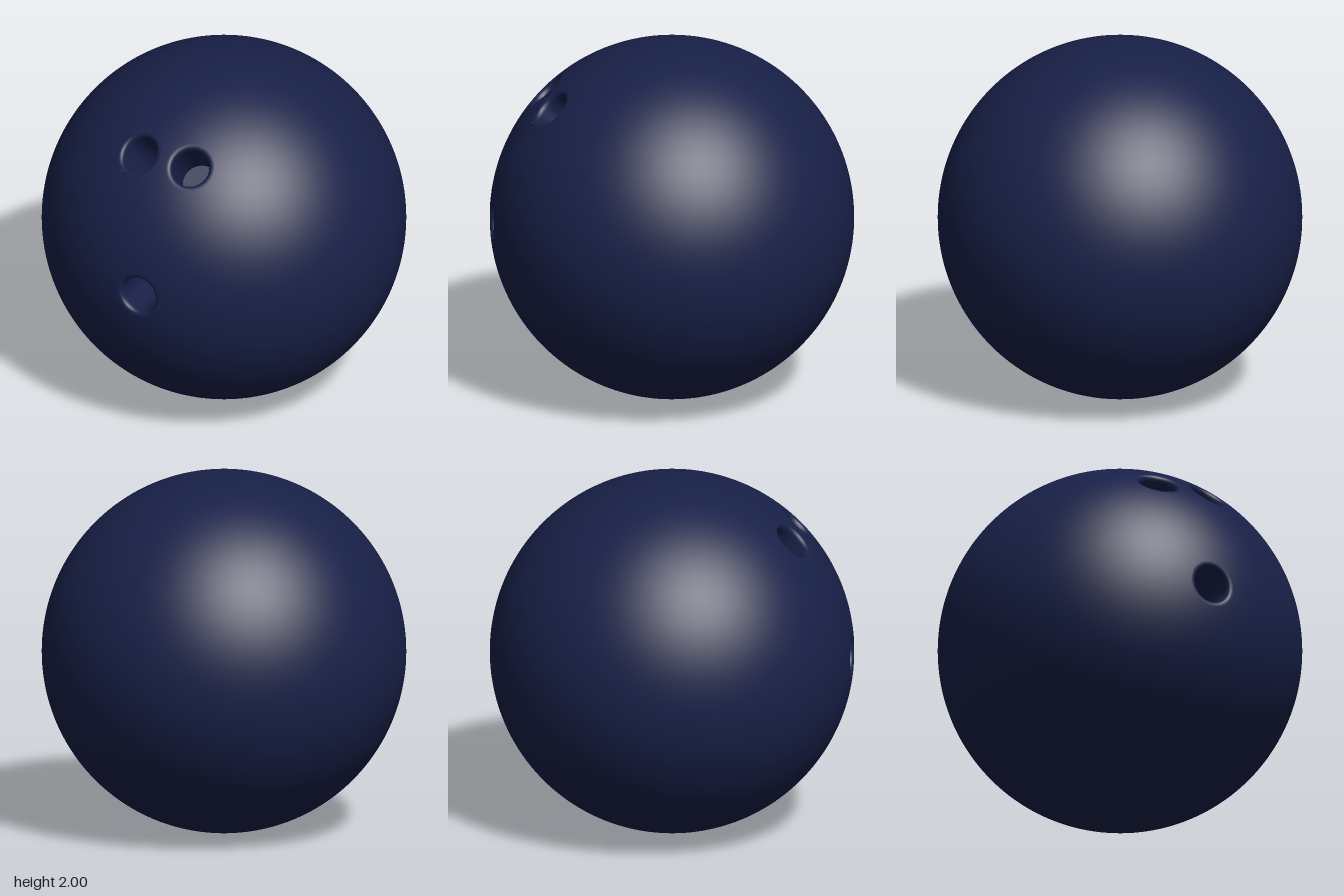
import * as THREE from 'three';

const RIM = 0.135;   // angle from the hole axis where the rounded rim meets the ball
const BORE = 0.102;  // radius of the drilled hole

// Hole axes from the ball centre, with drilling depth
const HOLES = [
  { name: 'fingerHoleRight', axis: new THREE.Vector3(-0.36, 0.71, 0.605).normalize(), depth: 0.33 },
  { name: 'fingerHoleLeft', axis: new THREE.Vector3(-0.055, 0.71, 0.70).normalize(), depth: 0.33 },
  { name: 'thumbHole', axis: new THREE.Vector3(-0.30, 0.01, 0.954).normalize(), depth: 0.5 },
];

// Point on the rim circle where an edge of the sphere crosses it
function rimPoint(a, b, axis) {
  const da = a.dot(axis) - Math.cos(RIM), db = b.dot(axis) - Math.cos(RIM);
  const p = a.clone().lerp(b, da / (da - db));
  p.addScaledVector(axis, -p.dot(axis)).setLength(Math.sin(RIM));
  return p.addScaledVector(axis, Math.cos(RIM));
}

// Keep the part of a polygon outside one hole
function clip(poly, axis) {
  const out = [];
  const outside = (p) => p.dot(axis) <= Math.cos(RIM);
  poly.forEach((a, i) => {
    const b = poly[(i + 1) % poly.length];
    if (outside(a)) out.push(a);
    if (outside(a) !== outside(b)) out.push(rimPoint(a, b, axis));
  });
  return out;
}

// Sphere with three round openings; normals are exactly radial
function ballGeometry() {
  const src = new THREE.IcosahedronGeometry(1, 40).getAttribute('position');
  const pos = [];
  for (let i = 0; i < src.count; i += 3) {
    let poly = [0, 1, 2].map((k) => new THREE.Vector3().fromBufferAttribute(src, i + k));
    for (const { axis } of HOLES) poly = clip(poly, axis);
    for (let k = 1; k + 1 < poly.length; k++) {
      for (const p of [poly[0], poly[k], poly[k + 1]]) pos.push(p.x, p.y, p.z);
    }
  }
  const geo = new THREE.BufferGeometry();
  geo.setAttribute('position', new THREE.Float32BufferAttribute(pos, 3));
  geo.setAttribute('normal', new THREE.Float32BufferAttribute(pos, 3));
  return geo;
}

// Rounded rim, bore wall and flat floor, turned around the hole axis
function makeHole({ name, axis, depth }, material) {
  const r = Math.sin(RIM), h = Math.cos(RIM);
  const fillet = new THREE.QuadraticBezierCurve(
    new THREE.Vector2(r, h),
    new THREE.Vector2(BORE, h + (r - BORE) * Math.tan(RIM)),
    new THREE.Vector2(BORE, h - 0.035),
  );
  const profile = [...fillet.getPoints(10), new THREE.Vector2(BORE, 1 - depth)];
  const wall = new THREE.Mesh(new THREE.LatheGeometry(profile, 64), material);
  wall.name = name + 'Wall';
  const floor = new THREE.Mesh(new THREE.CircleGeometry(BORE, 64), material);
  floor.name = name + 'Floor';
  floor.rotation.x = -Math.PI / 2;
  floor.position.y = 1 - depth;
  const hole = new THREE.Group();
  hole.name = name;
  hole.add(wall, floor);
  hole.quaternion.setFromUnitVectors(new THREE.Vector3(0, 1, 0), axis);
  hole.position.y = 1;
  return hole;
}

export function createModel() {
  const material = new THREE.MeshStandardMaterial({ color: 0x182048 });
  const model = new THREE.Group();
  model.name = 'bowlingBall';

  const ball = new THREE.Mesh(ballGeometry(), material);
  ball.name = 'ballShell';
  ball.position.y = 1;
  model.add(ball);

  for (const hole of HOLES) model.add(makeHole(hole, material));
  return model;
}
